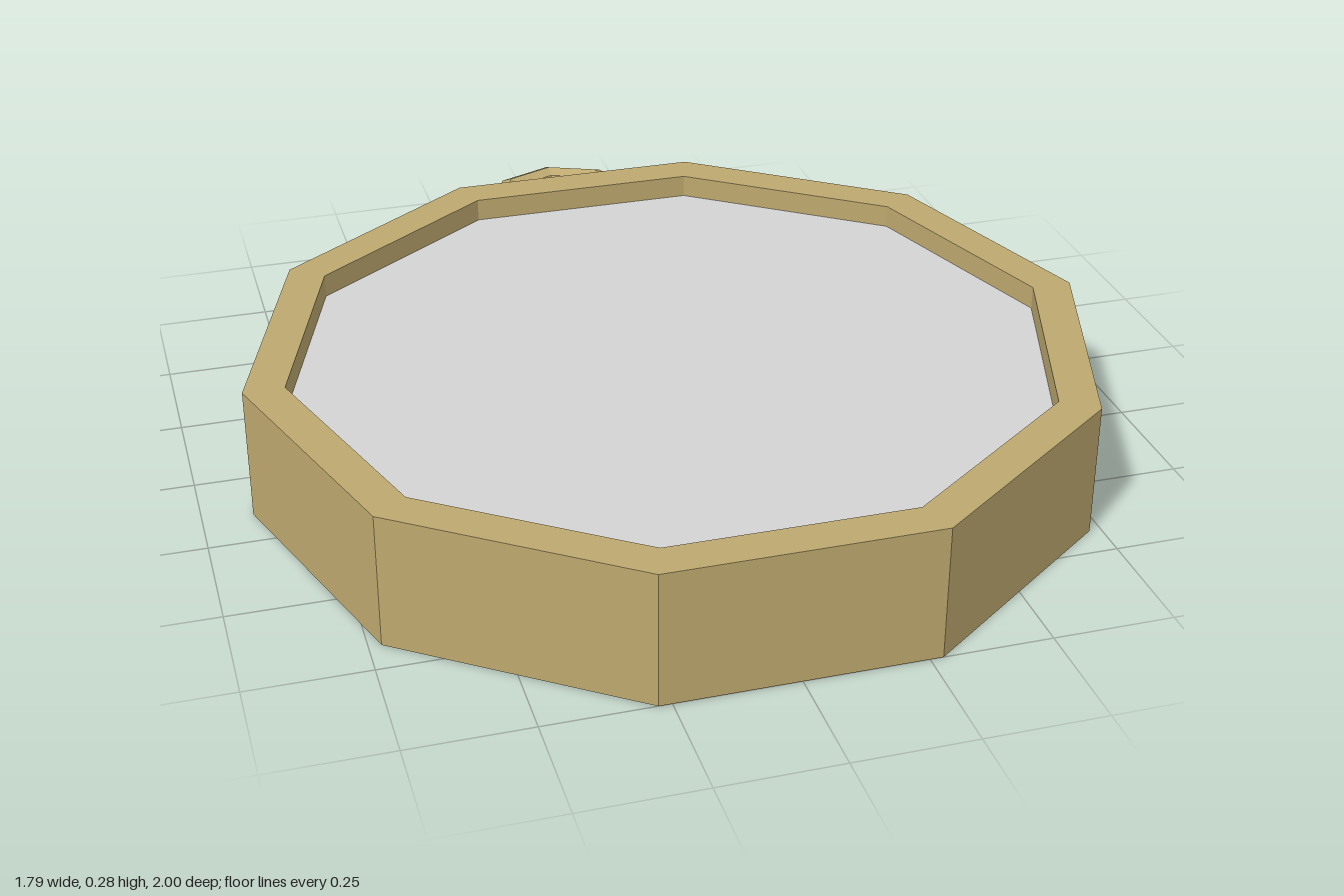
import * as THREE from 'three';

export function createModel() {
  const brass = new THREE.MeshStandardMaterial({ color: 0xbda86e });
  const glass = new THREE.MeshStandardMaterial({ color: 0xd4d4d4 });
  brass.flatShading = true;
  glass.flatShading = true;

  const SIDES = 10, OUTER = 0.896, INNER = 0.81;
  const HEIGHT = 0.285, FACE_Y = 0.235, CENTER_Z = 0.148;
  const model = new THREE.Group();
  model.name = 'pendant';

  function add(name, geometry, material, y, z) {
    const mesh = new THREE.Mesh(geometry, material);
    mesh.name = name;
    mesh.position.set(0, y, z);
    model.add(mesh);
  }

  // Ten-sided case: closed base, outer wall, flat rim and recess wall
  const profile = [[0, 0], [OUTER, 0], [OUTER, HEIGHT], [INNER, HEIGHT], [INNER, FACE_Y]]
    .map(([r, y]) => new THREE.Vector2(r, y));
  add('case', new THREE.LatheGeometry(profile, SIDES).rotateY(Math.PI / 2), brass, 0, CENTER_Z);

  // Pale face set inside the recess
  add('face', new THREE.CircleGeometry(INNER, SIDES).rotateX(-Math.PI / 2), glass, FACE_Y, CENTER_Z);

  // Faceted hanging ring, partly sunk into the back wall
  add('hangingRing', new THREE.TorusGeometry(0.149, 0.037, 8, 8).rotateX(Math.PI / 2), brass, 0.157, -0.814);

  return model;
}
